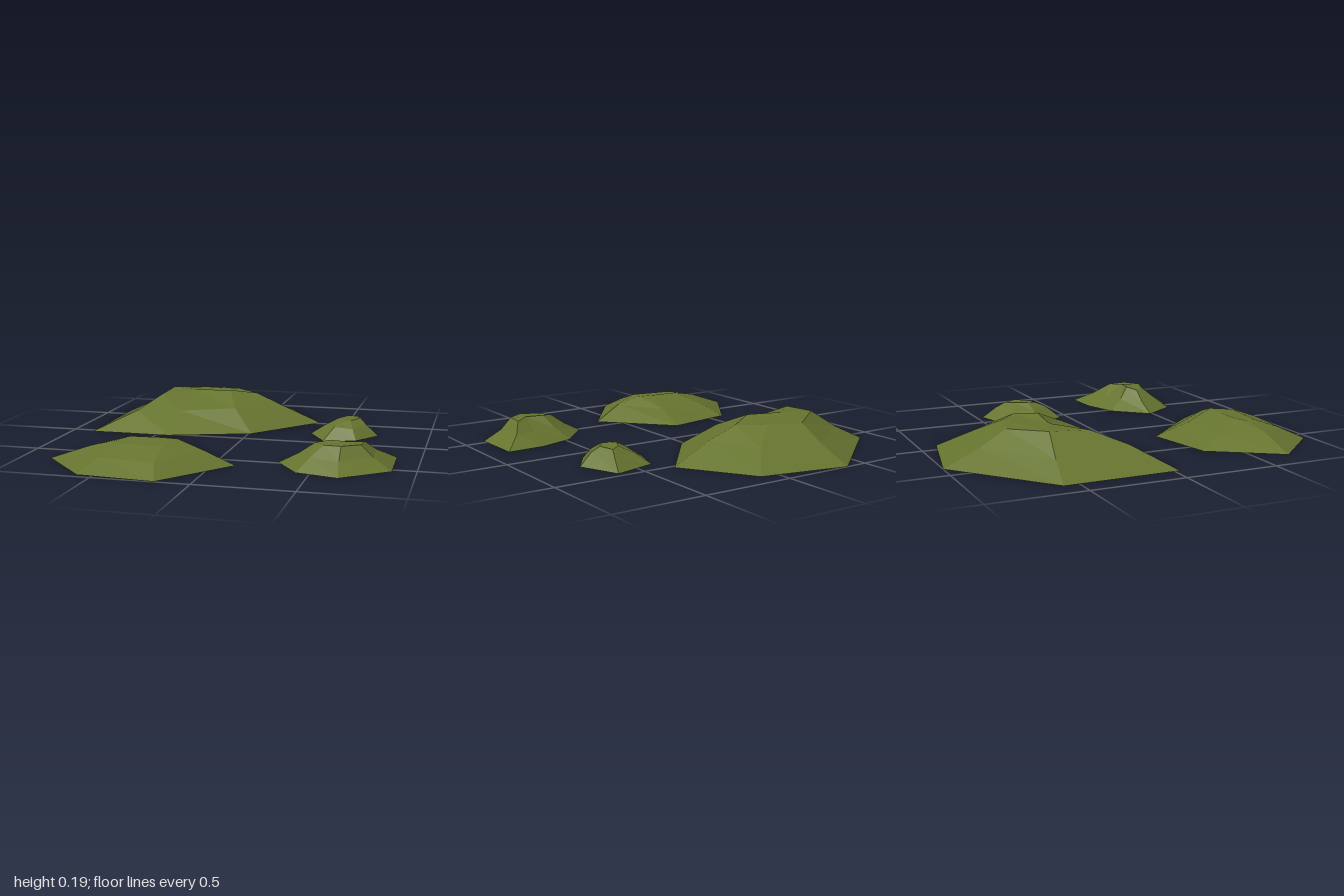
import * as THREE from 'three';

const moss = new THREE.MeshStandardMaterial({ color: 0x66742f, flatShading: true, side: THREE.DoubleSide });
moss.name = 'mossGreen';

// Each mound: ground ring, slope ring and crown ring, clockwise from above.
// Ground points are [x, z]; the others are [x, z, height].
const MOUNDS = {
  largeMound: [
    [[-0.38, -1], [0.095, -0.9], [0.34, -0.525], [0.015, -0.125], [-0.43, 0.03], [-0.88, 0.03], [-0.885, -0.58]],
    [[-0.37, -0.81, 0.085], [-0.03, -0.74, 0.09], [0.115, -0.5, 0.1], [-0.115, -0.265, 0.115],
      [-0.42, -0.19, 0.1], [-0.67, -0.14, 0.1], [-0.72, -0.55, 0.08]],
    [[-0.365, -0.67, 0.165], [-0.18, -0.62, 0.17], [-0.045, -0.515, 0.165], [-0.19, -0.435, 0.19],
      [-0.4, -0.455, 0.18], [-0.575, -0.31, 0.17], [-0.565, -0.52, 0.18]],
  ],
  frontMound: [
    [[-0.605, 0.32], [-0.215, 0.245], [0.115, 0.605], [-0.18, 0.995], [-0.58, 0.965], [-0.845, 0.68]],
    [[-0.53, 0.45, 0.065], [-0.24, 0.43, 0.065], [-0.05, 0.635, 0.08], [-0.22, 0.875, 0.06],
      [-0.52, 0.84, 0.06], [-0.63, 0.67, 0.075]],
    [[-0.44, 0.595, 0.118], [-0.28, 0.595, 0.12], [-0.185, 0.605, 0.12], [-0.22, 0.73, 0.11],
      [-0.475, 0.71, 0.105], [-0.5, 0.66, 0.105]],
  ],
  smallBackMound: [
    [[0.395, -0.4], [0.63, -0.465], [0.72, -0.245], [0.615, -0.09], [0.44, -0.045], [0.34, -0.225]],
    [[0.455, -0.34, 0.055], [0.605, -0.39, 0.06], [0.65, -0.24, 0.065], [0.59, -0.135, 0.055],
      [0.49, -0.12, 0.065], [0.43, -0.22, 0.06]],
    [[0.535, -0.31, 0.095], [0.585, -0.34, 0.09], [0.615, -0.265, 0.095], [0.57, -0.19, 0.09],
      [0.51, -0.165, 0.085], [0.495, -0.23, 0.095]],
  ],
  smallFrontMound: [
    [[0.47, 0.305], [0.665, 0.24], [0.875, 0.23], [0.88, 0.535], [0.645, 0.725], [0.43, 0.67], [0.305, 0.485]],
    [[0.52, 0.39, 0.06], [0.66, 0.36, 0.06], [0.78, 0.33, 0.06], [0.785, 0.51, 0.06],
      [0.635, 0.635, 0.06], [0.485, 0.6, 0.06], [0.41, 0.48, 0.055]],
    [[0.56, 0.45, 0.122], [0.655, 0.465, 0.122], [0.73, 0.41, 0.115], [0.725, 0.51, 0.12],
      [0.635, 0.57, 0.12], [0.545, 0.545, 0.115], [0.49, 0.485, 0.112]],
  ],
};

// Joins the rings into an open-bottomed faceted shell with a closed crown
function moundGeometry(rings) {
  const n = rings[0].length;
  const positions = rings.flat().flatMap(([x, z, y = 0]) => [x, y, z]);
  const index = [];
  for (let r = 0; r < rings.length - 1; r++) {
    for (let i = 0; i < n; i++) {
      const j = (i + 1) % n;
      const a = r * n + i, b = r * n + j;
      index.push(a, a + n, b + n, a, b + n, b);
    }
  }
  // Crown cap, with every triangle turned to face up
  const crown = rings[rings.length - 1].map(([x, z]) => new THREE.Vector2(x, -z));
  const base = (rings.length - 1) * n;
  for (const tri of THREE.ShapeUtils.triangulateShape(crown, [])) {
    if (THREE.ShapeUtils.area(tri.map((k) => crown[k])) < 0) tri.reverse();
    index.push(...tri.map((k) => base + k));
  }
  const geometry = new THREE.BufferGeometry();
  geometry.setAttribute('position', new THREE.Float32BufferAttribute(positions, 3));
  geometry.setIndex(index);
  const flat = geometry.toNonIndexed();
  flat.computeVertexNormals();
  return flat;
}

export function createModel() {
  const group = new THREE.Group();
  group.name = 'mossMounds';
  for (const [name, rings] of Object.entries(MOUNDS)) {
    const mesh = new THREE.Mesh(moundGeometry(rings), moss);
    mesh.name = name;
    group.add(mesh);
  }
  return group;
}
